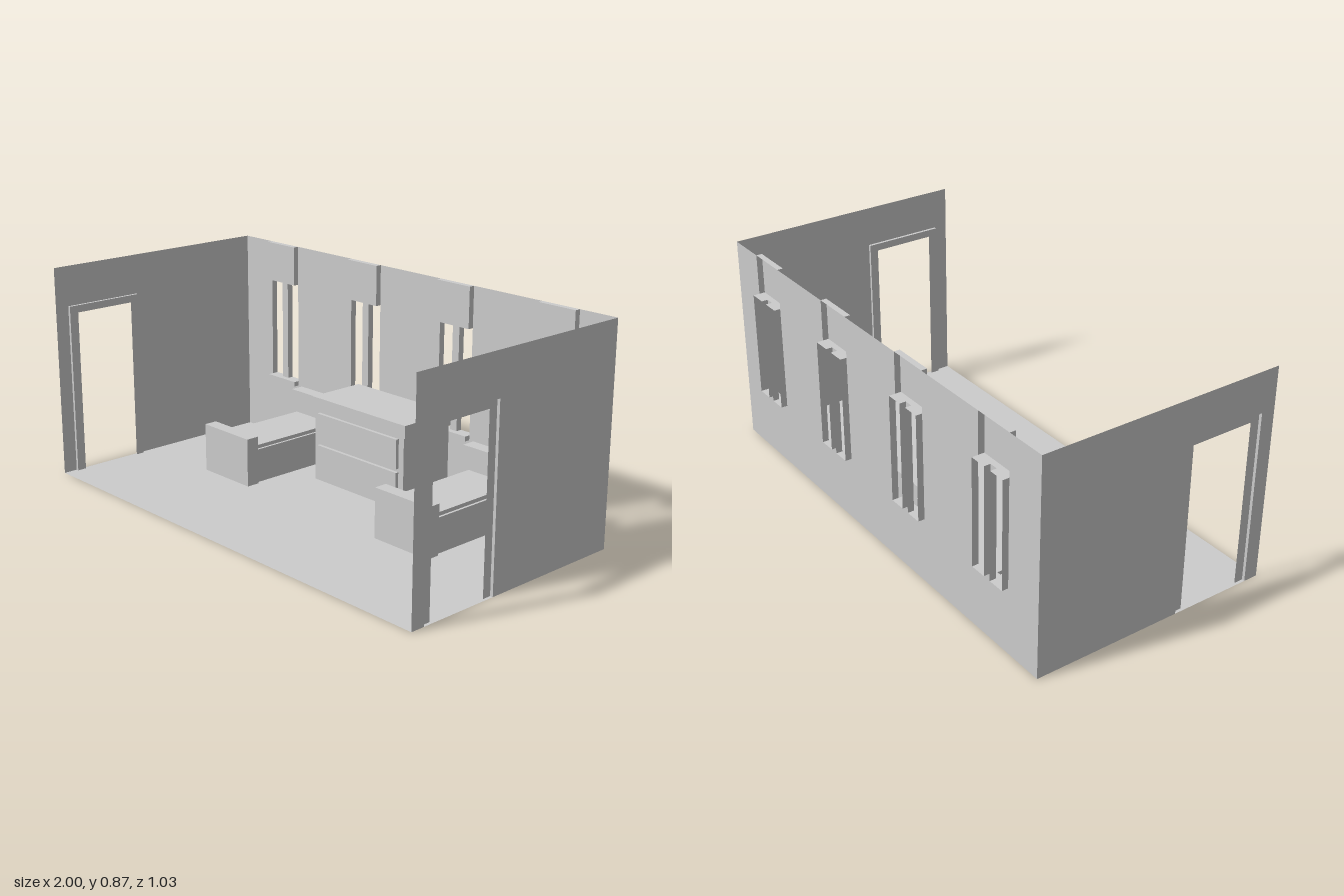
import * as THREE from 'three';

const W = 1, H = 0.865, BACK = -0.487, FRONT = 0.513;
const material = new THREE.MeshStandardMaterial({ color: 0xcccccc, side: THREE.DoubleSide });

// Box between two corners; faces listed in "open" are left out
const FACES = ['right', 'left', 'top', 'bottom', 'front', 'back'];
function box(parent, name, [x0, x1], [y0, y1], [z0, z1], open = []) {
  const g = new THREE.BoxGeometry(x1 - x0, y1 - y0, z1 - z0);
  const all = Array.from(g.index.array);
  g.setIndex(FACES.flatMap((f, i) => (open.includes(f) ? [] : all.slice(i * 6, i * 6 + 6))));
  g.clearGroups();
  g.translate((x0 + x1) / 2, (y0 + y1) / 2, (z0 + z1) / 2);
  const m = new THREE.Mesh(g, material);
  m.name = name;
  parent.add(m);
  return m;
}

function group(parent, name) {
  const g = new THREE.Group();
  g.name = name;
  parent.add(g);
  return g;
}

// Flat panel facing +z on the back wall plane
function panel(parent, name, [x0, x1], [y0, y1]) {
  const g = new THREE.PlaneGeometry(x1 - x0, y1 - y0);
  g.translate((x0 + x1) / 2, (y0 + y1) / 2, BACK);
  const m = new THREE.Mesh(g, material);
  m.name = name;
  parent.add(m);
}

// Upright arch-like sheet in the z-y plane: outer rectangle with a doorway cut from the floor
function doorSheet(parent, name, x, [z0, z1], h, [d0, d1], dh) {
  const pts = [[z0, 0], [d0, 0], [d0, dh], [d1, dh], [d1, 0], [z1, 0], [z1, h], [z0, h]];
  const g = new THREE.ShapeGeometry(new THREE.Shape(pts.map(p => new THREE.Vector2(...p))));
  g.rotateY(-Math.PI / 2);
  g.translate(x, 0, 0);
  const m = new THREE.Mesh(g, material);
  m.name = name;
  parent.add(m);
}

// Side wall with a doorway and a slightly recessed frame
function sideWall(parent, name, s) {
  const g = group(parent, name);
  const outer = [0.121, 0.455], inner = [0.157, 0.417], inset = 0.988;
  doorSheet(g, 'wall', s * W, [BACK, FRONT], H, outer, 0.7);
  doorSheet(g, 'doorFrame', s * inset, outer, 0.7, inner, 0.67);
  const xs = s > 0 ? [inset, W] : [-W, -inset];
  box(g, 'doorReveal', xs, [0, 0.7], outer, ['left', 'right', 'bottom']);
}

// Two-pane window: inner blind box and sill, outer pane surrounds
function windowUnit(parent, cx) {
  const g = group(parent, 'window');
  const half = 0.085, mull = 0.017, inside = BACK + 0.024, outside = BACK - 0.026;
  const full = [cx - half, cx + half];
  panel(g, 'wallBelow', full, [0, 0.25]);
  panel(g, 'mullion', [cx - mull, cx + mull], [0.27, 0.7]);
  box(g, 'blindBox', full, [0.7, H], [BACK, inside], ['back']);
  box(g, 'sill', full, [0.25, 0.27], [BACK, inside]);
  for (const xs of [[cx - half, cx - mull], [cx + mull, cx + half]])
    box(g, 'paneSurround', xs, [0.27, 0.7], [outside, BACK], ['front', 'back']);
}

function bed(parent, cx) {
  const g = group(parent, 'bed');
  const span = h => [cx - h, cx + h];
  box(g, 'headboard', span(0.144), [0, 0.25], [BACK, -0.43]);
  box(g, 'footboard', span(0.135), [0, 0.2], [0, 0.055]);
  box(g, 'bedFrame', span(0.123), [0, 0.14], [-0.43, 0]);
  box(g, 'mattress', span(0.113), [0.14, 0.155], [-0.43, 0]);
}

function dresser(parent) {
  const g = group(parent, 'dresser');
  box(g, 'body', [-0.25, 0.25], [0, 0.3], [-0.46, -0.21]);
  box(g, 'dresserTop', [-0.26, 0.26], [0.3, 0.352], [-0.46, -0.205]);
  for (const ys of [[0.03, 0.155], [0.17, 0.29]])
    box(g, 'drawer', [-0.223, 0.223], ys, [-0.21, -0.196]);
}

export function createModel() {
  const room = new THREE.Group();
  room.name = 'room';

  // Floor
  const floorGeo = new THREE.PlaneGeometry(2 * W, FRONT - BACK);
  floorGeo.rotateX(-Math.PI / 2);
  floorGeo.translate(0, 0, (FRONT + BACK) / 2);
  const floor = new THREE.Mesh(floorGeo, material);
  floor.name = 'floor';
  room.add(floor);

  // Side walls
  sideWall(room, 'leftWall', 1);
  sideWall(room, 'rightWall', -1);

  // Back wall: full-height strips between the windows
  const backWall = group(room, 'backWall');
  const centres = [-0.75, -0.25, 0.25, 0.75];
  let x = -W;
  for (const c of centres) {
    panel(backWall, 'wallStrip', [x, c - 0.085], [0, H]);
    windowUnit(backWall, c);
    x = c + 0.085;
  }
  panel(backWall, 'wallStrip', [x, W], [0, H]);

  // Furniture
  bed(room, -0.5);
  bed(room, 0.5);
  dresser(room);
  return room;
}
